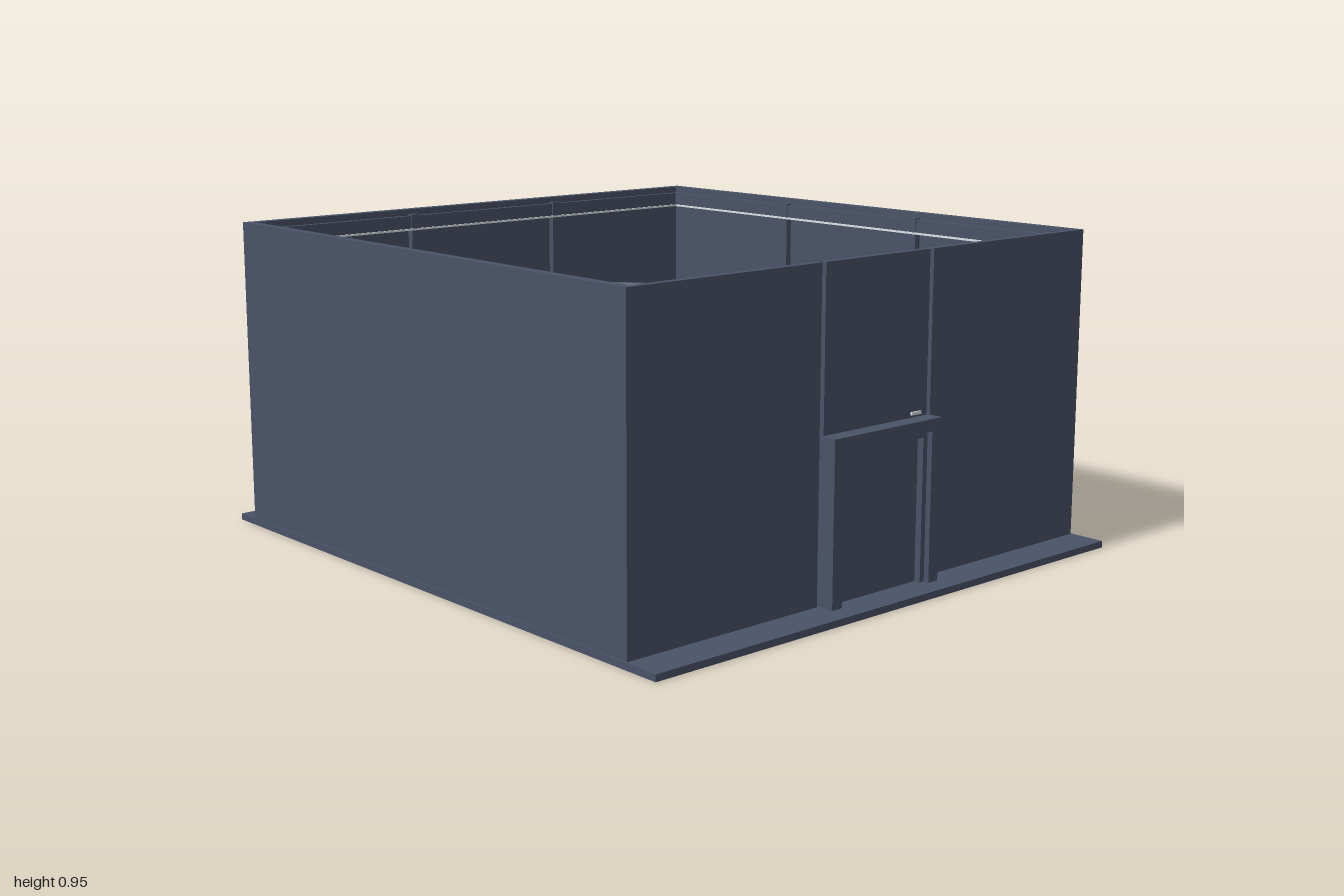
import * as THREE from 'three';

export function createModel() {
  const room = new THREE.Group();
  room.name = 'roofless room';
  const slate = new THREE.MeshStandardMaterial({ color: 0x4a5368 });
  slate.name = 'slate';
  const light = new THREE.MeshStandardMaterial({ color: 0xe8ecf0 });
  light.name = 'pale light';

  const add = (name, geometry, material = slate) => {
    const mesh = new THREE.Mesh(geometry, material);
    mesh.name = name;
    room.add(mesh);
    return mesh;
  };
  // Box given by its extents on each axis
  const box = (name, x0, x1, y0, y1, z0, z1, material) => {
    const mesh = add(name, new THREE.BoxGeometry(x1 - x0, y1 - y0, z1 - z0), material);
    mesh.position.set((x0 + x1) / 2, (y0 + y1) / 2, (z0 + z1) / 2);
    return mesh;
  };
  // The same box on both sides of the room, x measured outwards
  const pair = (name, x0, x1, y0, y1, z0, z1, material) => {
    box(name + 'Left', x0, x1, y0, y1, z0, z1, material);
    box(name + 'Right', -x1, -x0, y0, y1, z0, z1, material);
  };

  const floorY = 0.02, topY = 0.955;
  box('floor', -0.895, 0.895, 0, floorY, -1, 1);

  // Outer walls
  pair('sideWall', 0.86, 0.89, floorY, topY, -0.925, 0.87);
  box('backWall', -0.86, 0.86, floorY, topY, -0.925, -0.895);
  pair('frontWall', 0.22, 0.89, floorY, topY, 0.865, 0.887);
  box('wallOverDoor', -0.205, 0.205, 0.49, topY, 0.865, 0.887);
  pair('frontJoint', 0.2, 0.225, floorY, topY - 0.005, 0.855, 0.872);

  // Inner trim: top and bottom rails, posts and light strips
  for (const [y0, y1] of [[0.89, 0.935], [floorY, 0.06]]) {
    pair('sideRail', 0.843, 0.86, y0, y1, -0.88, 0.82);
    box('backRail', -0.86, 0.86, y0, y1, -0.895, -0.878);
  }
  for (const z of [-0.32, 0.26]) pair('sidePost', 0.84, 0.862, floorY, 0.94, z - 0.014, z + 0.014);
  pair('backPost', 0.275, 0.305, floorY, 0.94, -0.897, -0.874);
  pair('sideLightStrip', 0.838, 0.843, 0.888, 0.894, -0.87, 0.81, light);
  box('backLightStrip', -0.84, 0.84, 0.888, 0.894, -0.878, -0.873, light);

  // Wall panels with raised frames
  pair('sidePanel', 0.805, 0.83, 0.15, 0.51, -0.36, 0.37);
  pair('sidePanelBracket', 0.83, 0.862, 0.28, 0.38, -0.1, 0.11);
  for (const [y0, y1] of [[0.15, 0.17], [0.49, 0.51]]) {
    pair('sidePanelFrame', 0.798, 0.806, y0, y1, -0.36, 0.37);
    box('backPanelFrame', -0.47, 0.47, y0 + 0.025, y1 + 0.025, -0.832, -0.825);
  }
  pair('sidePanelLight', 0.797, 0.805, 0.2, 0.205, -0.14, 0.08, light);
  box('backPanel', -0.47, 0.47, 0.175, 0.535, -0.852, -0.831);
  box('backPanelBracket', -0.12, 0.12, 0.28, 0.4, -0.897, -0.85);
  box('backPanelLight', 0.135, 0.175, 0.4, 0.5, -0.831, -0.826, light);

  // Entrance: deep portal with a recessed door
  pair('portalJamb', 0.175, 0.213, floorY, 0.455, 0.705, 0.937);
  box('portalLintel', -0.213, 0.213, 0.455, 0.49, 0.705, 0.937);
  pair('doorFrame', 0.158, 0.176, floorY, 0.455, 0.85, 0.92);
  box('doorFrameTop', -0.158, 0.158, 0.437, 0.455, 0.85, 0.92);
  box('door', -0.158, 0.158, floorY, 0.437, 0.875, 0.9);
  box('doorLamp', 0.14, 0.18, 0.497, 0.506, 0.887, 0.892, light);
  pair('portalLightStrip', 0.17, 0.175, 0.06, 0.42, 0.72, 0.735, light);

  // Round table with a sunken top and a raised rim
  const cz = -0.29;
  const profile = [[0, 0.02], [0.27, 0.02], [0.27, 0.06], [0.22, 0.06], [0.22, 0.38], [0.28, 0.4],
    [0.28, 0.45], [0.25, 0.45], [0.25, 0.435], [0, 0.435]].map(([r, y]) => new THREE.Vector2(r, y));
  const lathe = new THREE.LatheGeometry(profile, 64).toNonIndexed();
  lathe.computeVertexNormals();
  add('roundTable', lathe).position.z = cz;
  const glow = add('tableLightRing', new THREE.TorusGeometry(0.248, 0.003, 6, 64), light);
  glow.rotation.x = Math.PI / 2;
  glow.position.set(0, 0.45, cz);

  // Four capped pillars around the table
  for (const x of [-0.245, 0.245]) for (const z of [-0.54, -0.05]) {
    box('pillar', x - 0.022, x + 0.022, floorY, 0.62, z - 0.022, z + 0.022);
    box('pillarCap', x - 0.039, x + 0.039, 0.61, 0.64, z - 0.036, z + 0.036);
    box('pillarFoot', x - 0.035, x + 0.035, floorY, 0.045, z - 0.035, z + 0.035);
  }

  // Hanging ring over the pillars
  const ring = add('overheadRing', new THREE.TorusGeometry(0.428, 0.013, 10, 80));
  ring.rotation.x = Math.PI / 2;
  ring.position.set(0, 0.68, cz);

  return room;
}
